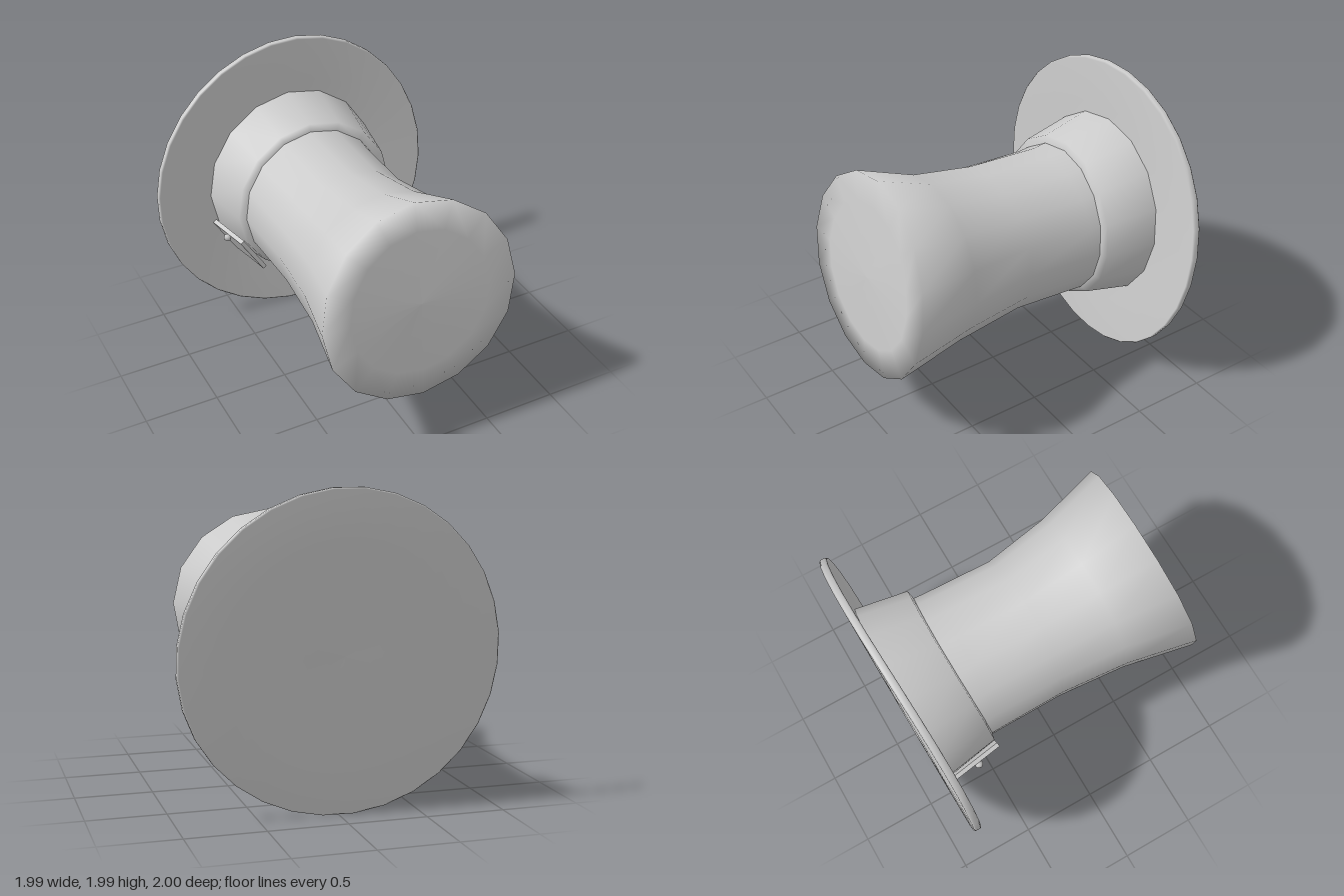
import * as THREE from 'three';

const material = new THREE.MeshStandardMaterial({ color: 0xcccccc, side: THREE.DoubleSide });

// Skin a list of closed rings, ordered front to back; each ring maps an angle to [x, y, z].
function loft(name, rings, sides, offset = 0) {
  const positions = [];
  const index = [];
  rings.forEach((ring, r) => {
    for (let s = 0; s < sides; s++) {
      positions.push(...ring(((s + offset) / sides) * Math.PI * 2));
      if (r === rings.length - 1) continue;
      const a = r * sides + s;
      const b = r * sides + ((s + 1) % sides);
      index.push(a, b, a + sides, b, b + sides, a + sides);
    }
  });
  const geometry = new THREE.BufferGeometry();
  geometry.setAttribute('position', new THREE.Float32BufferAttribute(positions, 3));
  geometry.setIndex(index);
  geometry.computeVertexNormals();
  const mesh = new THREE.Mesh(geometry, material);
  mesh.name = name;
  return mesh;
}

// Tilted oval ring through a top point and a bottom point (y, z), scaled about its middle.
function oval(topY, topZ, bottomY, bottomZ, halfWidth, { cx = 0, bow = 0, scale = 1 } = {}) {
  return (angle) => {
    const c = Math.cos(angle) * scale;
    const s = Math.sin(angle) * scale;
    return [
      cx + halfWidth * s,
      (topY + bottomY) / 2 + ((topY - bottomY) / 2) * c,
      (topZ + bottomZ) / 2 + ((topZ - bottomZ) / 2) * c + bow * (1 - c * c),
    ];
  };
}

// Rear surface of the warped brim.
const brimZ = (x, y) => -0.92 + 0.01 * x - 0.09 * y + 0.035 * x * x + 0.02 * y * y - 0.05 * x * y;

function brimRing(radius, lift) {
  return (angle) => {
    const x = radius * Math.sin(angle);
    const y = radius * Math.cos(angle);
    return [x, 1 + y, brimZ(x, y) + lift];
  };
}

export function createModel() {
  const group = new THREE.Group();
  group.name = 'hat';

  // Crown: flat end, flared rim, narrow waist
  const rim = [1.757, 0.82, 0.435, 1.0, 0.665];
  group.add(loft('crown', [
    oval(...rim, { scale: 0, bow: 0.03 }),
    oval(...rim, { scale: 0.72, bow: 0.03 }),
    oval(...rim, { bow: 0.03 }),
    oval(1.6, 0.45, 0.5, 0.52, 0.555, { cx: -0.005 }),
    oval(1.515, 0.03, 0.53, 0.03, 0.497, { cx: -0.017 }),
    oval(1.488, -0.45, 0.512, -0.43, 0.51, { cx: -0.005 }),
    oval(1.53, -0.88, 0.47, -0.8, 0.53),
  ], 16));

  // Hat band, flaring toward the brim
  group.add(loft('band', [
    oval(1.5, -0.56, 0.51, -0.46, 0.5, { bow: 0.02 }),
    oval(1.55, -0.575, 0.475, -0.485, 0.565, { bow: 0.025 }),
    oval(1.625, -0.93, 0.375, -0.83, 0.625),
  ], 16));

  // Brim: front face, edge and back face
  group.add(loft('brim', [
    brimRing(0, 0.05), brimRing(0.35, 0.05), brimRing(0.7, 0.05), brimRing(0.99, 0.05),
    brimRing(1, 0.04), brimRing(1, 0.01),
    brimRing(0.99, 0), brimRing(0.7, 0), brimRing(0.35, 0), brimRing(0, 0),
  ], 32, 0.5));

  // Small flat clasp lying on the lower right of the band
  const clasp = new THREE.Group();
  clasp.name = 'clasp';
  clasp.position.set(-0.51, 0.69, -0.66);
  clasp.rotation.z = Math.atan2(-0.31, -0.51);
  const plate = new THREE.Mesh(new THREE.BoxGeometry(0.03, 0.3, 0.37), material);
  plate.name = 'claspPlate';
  plate.rotation.y = -0.16;
  const knob = new THREE.Mesh(new THREE.OctahedronGeometry(0.028, 1), material);
  knob.name = 'claspKnob';
  knob.position.set(0.03, -0.13, 0.015);
  clasp.add(plate, knob);
  group.add(clasp);

  return group;
}
